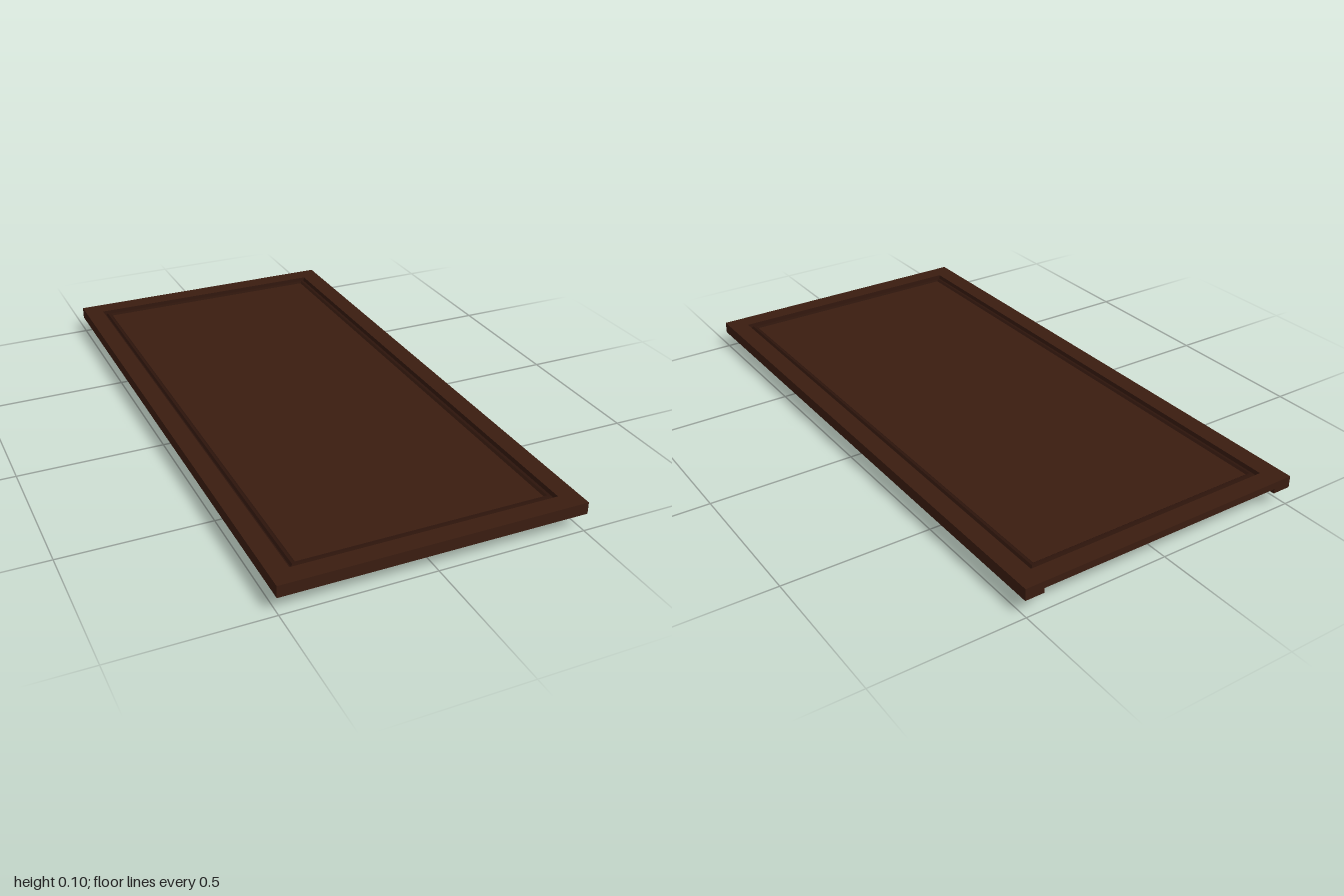
import * as THREE from 'three';

const mat = (color, extra = {}) => new THREE.MeshStandardMaterial({ color, ...extra });
const wood = mat(0x3a1c10);
const carved = mat(0x2c140b, { flatShading: true });
const leather = mat(0x2a150b);
const brass = mat(0x7a6030);

function add(group, name, geometry, material, x = 0, y = 0, z = 0) {
  const mesh = new THREE.Mesh(geometry, material);
  mesh.name = name;
  mesh.position.set(x, y, z);
  group.add(mesh);
  return mesh;
}

// Moulding through nested rectangles [halfX, halfZ, y], from the outside in
function moulding(rings, faceUp) {
  const pos = [], index = [];
  for (const [x, z, y] of rings) pos.push(-x, y, -z, -x, y, z, x, y, z, x, y, -z);
  for (let r = 0; r < rings.length - 1; r++) {
    for (let i = 0; i < 4; i++) {
      const a = r * 4 + i, b = r * 4 + (i + 1) % 4, c = b + 4, d = a + 4;
      if (faceUp) index.push(a, b, c, a, c, d);
      else index.push(a, c, b, a, d, c);
    }
  }
  const g = new THREE.BufferGeometry();
  g.setAttribute('position', new THREE.Float32BufferAttribute(pos, 3));
  g.setIndex(index);
  const flat = g.toNonIndexed();
  flat.computeVertexNormals();
  return flat;
}

const lathe = (points, segments = 24, start = 0) =>
  new THREE.LatheGeometry(points.map(([r, y]) => new THREE.Vector2(r, y)), segments, start);

const buttons = [
  [0, -0.67], [0.2, -0.445], [-0.2, -0.445], [0, -0.22], [0.2, 0], [-0.2, 0],
  [0, 0.225], [0.2, 0.45], [0, 0.45], [-0.2, 0.45], [0, 0.675],
];

// Padded sheet facing down, rounded at its edge and dimpled at each button
function cushion() {
  const g = new THREE.PlaneGeometry(0.8, 1.78, 80, 178).rotateX(Math.PI / 2);
  const p = g.attributes.position;
  for (let i = 0; i < p.count; i++) {
    const x = p.getX(i), z = p.getZ(i);
    const edge = Math.min(0.4 - Math.abs(x), 0.89 - Math.abs(z));
    let y = 0.055 + 0.011 * (1 - THREE.MathUtils.smoothstep(edge, 0, 0.04));
    for (const [bx, bz] of buttons) {
      const d = Math.hypot(x - bx, z - bz);
      y += 0.011 * (1 - THREE.MathUtils.smoothstep(d, 0, 0.055));
    }
    p.setY(i, y);
  }
  g.computeVertexNormals();
  return g;
}

export function createModel() {
  const door = new THREE.Group();
  door.name = 'door';

  // Frame: two full-length stiles, a front rail and a thinner back rail
  for (const s of [-1, 1]) {
    add(door, s > 0 ? 'leftStile' : 'rightStile',
      new THREE.BoxGeometry(0.065, 0.04, 2), wood, s * 0.4725, 0.08, 0);
  }
  add(door, 'frontRail', new THREE.BoxGeometry(0.88, 0.04, 0.065), wood, 0, 0.08, 0.9675);
  add(door, 'backRail', new THREE.BoxGeometry(0.88, 0.024, 0.065), wood, 0, 0.088, -0.9675);

  // Inner face: stepped moulding around a flat panel
  add(door, 'innerMoulding', moulding([
    [0.44, 0.935, 0.1], [0.435, 0.93, 0.088], [0.43, 0.925, 0.088],
    [0.425, 0.92, 0.096], [0.417, 0.912, 0.096], [0.41, 0.905, 0.09],
  ], true), carved);
  add(door, 'innerPanel', new THREE.BoxGeometry(0.822, 0.018, 1.812), wood, 0, 0.081, 0);

  // Outer face: moulding around the buttoned cushion
  add(door, 'outerMoulding', moulding([
    [0.44, 0.935, 0.078], [0.44, 0.935, 0.06], [0.432, 0.927, 0.067],
    [0.424, 0.919, 0.06], [0.412, 0.905, 0.06], [0.4, 0.89, 0.067],
  ], false), carved);
  add(door, 'cushion', cushion(), leather);
  const stud = new THREE.SphereGeometry(0.014, 16, 10).scale(1, 0.5, 1);
  for (const [x, z] of buttons) add(door, 'button', stud, leather, x, 0.061, z);

  // Lever handle
  const handle = new THREE.Group();
  handle.name = 'handle';
  handle.position.x = 0.357;
  door.add(handle);

  // Long rounded back plate: a bowl pulled apart along its length
  const plate = lathe([[0.0005, 0.031], [0.009, 0.032], [0.015, 0.036], [0.02, 0.043],
    [0.023, 0.05], [0.023, 0.056]], 24, Math.PI / 24);
  const pp = plate.attributes.position;
  for (let i = 0; i < pp.count; i++) pp.setZ(i, pp.getZ(i) + Math.sign(pp.getZ(i)) * 0.107);
  add(handle, 'backPlate', plate, brass, 0, 0, -0.02);

  add(handle, 'spindle', lathe([[0, 0.002], [0.012, 0.003], [0.021, 0.005], [0.023, 0.009],
    [0.021, 0.013], [0.011, 0.017], [0.006, 0.022], [0.006, 0.027], [0.01, 0.034]]), brass);

  // Lever tapering to a neck and swelling into the grip
  const lever = lathe([[0, -0.102], [0.005, -0.101], [0.0075, -0.096], [0.008, -0.085],
    [0.007, -0.072], [0.0045, -0.06], [0.004, -0.04], [0.006, -0.022], [0.006, 0]], 16);
  lever.rotateZ(-Math.PI / 2);
  add(handle, 'lever', lever, brass, 0, 0.008, 0);
  return door;
}
